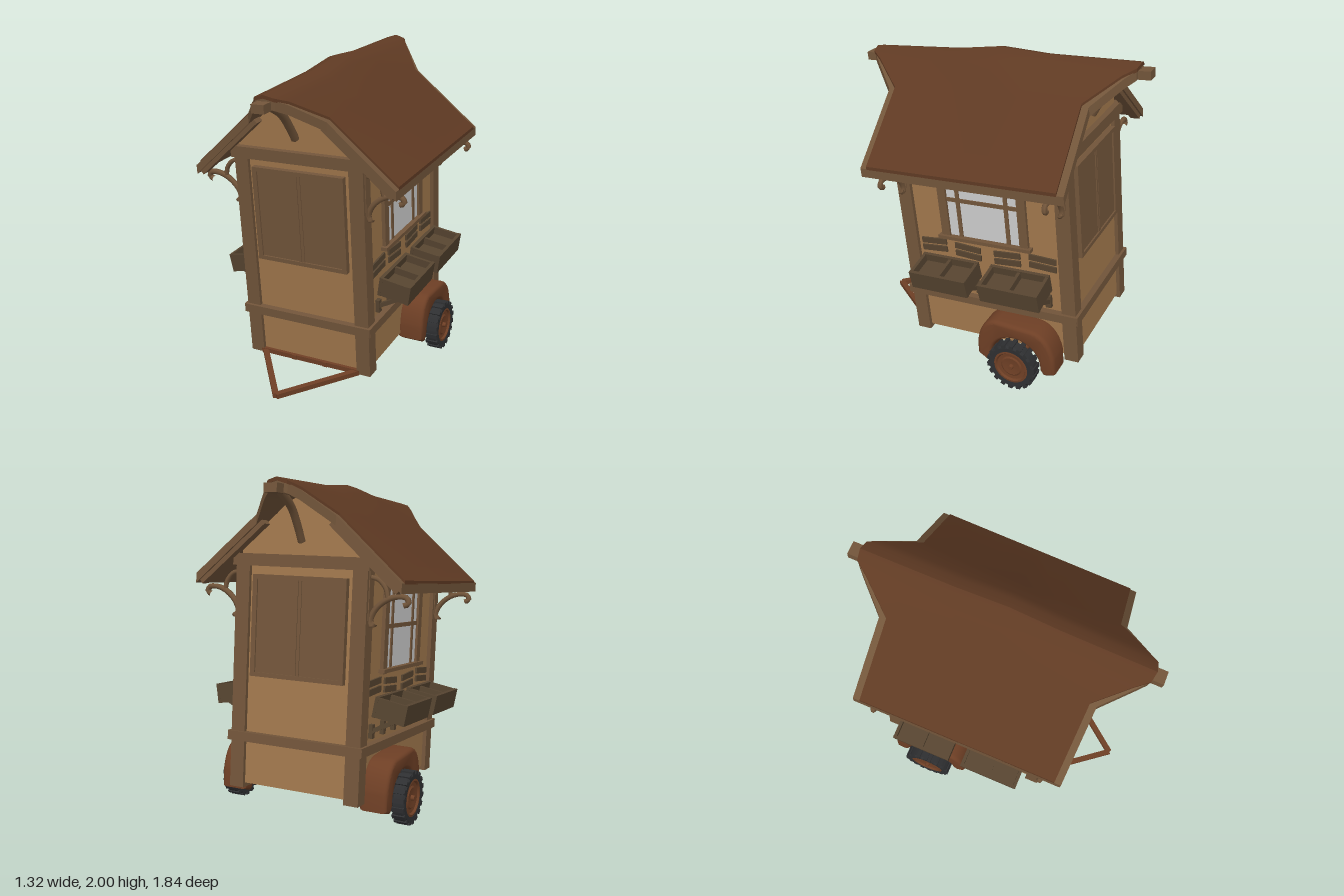
import * as THREE from 'three';
import { toCreasedNormals } from 'three/addons/utils/BufferGeometryUtils.js';

const mat = (color) => new THREE.MeshStandardMaterial({ color });
const WALL = mat(0xa0774c), TRIM = mat(0x72553a), ROOF = mat(0x5f3a23), RUST = mat(0x6e3f25);
const DARK = mat(0x564430), TYRE = mat(0x2e2f31), GLASS = mat(0xcccccc);

function add(parent, name, geo, material, x = 0, y = 0, z = 0) {
  const m = new THREE.Mesh(geo, material);
  m.name = name;
  m.position.set(x, y, z);
  parent.add(m);
  return m;
}

const box = (parent, name, material, w, h, d, x, y, z) =>
  add(parent, name, new THREE.BoxGeometry(w, h, d), material, x, y, z);

// Square bar running between two points
function bar(parent, name, material, a, b, w, h) {
  const p = new THREE.Vector3(...a), q = new THREE.Vector3(...b);
  const m = new THREE.Mesh(new THREE.BoxGeometry(w, h, p.distanceTo(q)), material);
  m.name = name;
  m.position.copy(p).lerp(q, 0.5);
  m.lookAt(q);
  parent.add(m);
}

function curved(parent, name, material, pts, r) {
  const curve = new THREE.CatmullRomCurve3(pts.map((p) => new THREE.Vector3(...p)));
  return add(parent, name, new THREE.TubeGeometry(curve, 24, r, 6, false), material);
}

// Roof cross-section from ridge to eave: x, y, half length in z, share of ridge bump
const SECTION = [[0, 1.907, 0.86, 1], [0.06, 1.89, 0.85, 1], [0.11, 1.86, 0.78, 1],
  [0.25, 1.738, 0.6, 0], [0.65, 1.39, 0.6, 0]];
const STATIONS = [[0, 0.04], [0.35, 0.012], [1, 0]];
function roofSlab(top, bottom, overhang) {
  const geo = new THREE.BoxGeometry(8, 1, 4, 8, 1, 4);
  const p = geo.attributes.position;
  for (let i = 0; i < p.count; i++) {
    const ix = Math.round(p.getX(i)), iz = Math.round(p.getZ(i));
    const [x, y, len, k] = SECTION[Math.abs(ix)];
    const [u, bump] = STATIONS[Math.abs(iz)];
    const out = len + overhang[Math.abs(ix)];
    p.setXYZ(i, Math.sign(ix) * x, y + bump * k - (p.getY(i) > 0 ? top : bottom), Math.sign(iz) * u * out);
  }
  return toCreasedNormals(geo, 0.5);
}

function buildBody(g) {
  // Solid cabin with gabled ends
  const s = new THREE.Shape([[-0.395, 0.15], [0.395, 0.15], [0.395, 1.55], [0.25, 1.68], [0.11, 1.8], [0, 1.845],
    [-0.11, 1.8], [-0.25, 1.68], [-0.395, 1.55]].map((p) => new THREE.Vector2(...p)));
  add(g, 'cabin', new THREE.ExtrudeGeometry(s, { depth: 1.09, bevelEnabled: false }), WALL, 0, 0, -0.545);

  add(g, 'roofCover', roofSlab(0, 0.02, [0, 0, 0, 0, 0]), ROOF);
  add(g, 'roofBoards', roofSlab(0.015, 0.07, [-0.005, -0.005, 0.015, 0.042, 0.042]), TRIM);
  box(g, 'ridgeBeam', TRIM, 0.08, 0.05, 1.84, 0, 1.845, 0);

  for (const e of [-1, 1]) {
    box(g, 'gableBeam', TRIM, 0.87, 0.07, 0.05, 0, 1.468, e * 0.558);
    box(g, 'endBelt', TRIM, 0.87, 0.055, 0.05, 0, 0.432, e * 0.56);
    curved(g, 'ridgeBrace', TRIM, [[0, 1.58, e * 0.56], [0, 1.66, e * 0.61], [0, 1.76, e * 0.69],
      [0, 1.84, e * 0.82]], 0.025);
    // Double shutter: back panel, frame and centre line
    const z = e * 0.555;
    box(g, 'shutterPanel', TRIM, 0.58, 0.56, 0.03, 0, 1.09, z);
    for (const k of [-1, 1]) {
      box(g, 'shutterStile', TRIM, 0.03, 0.59, 0.05, k * 0.285, 1.09, z);
      box(g, 'shutterRail', TRIM, 0.6, 0.025, 0.05, 0, 1.09 + k * 0.283, z);
      box(g, 'shutterInnerStile', TRIM, 0.016, 0.55, 0.042, k * 0.011, 1.09, z);
    }
  }
}

// Tilted tray with two compartments and three struts
function buildTray(g, s, zc) {
  const t = new THREE.Group();
  t.name = 'displayTray';
  t.position.set(s * 0.525, 0.655, zc);
  t.rotation.z = -s * 0.17;
  g.add(t);
  box(t, 'trayFloor', DARK, 0.19, 0.07, 0.37, 0, -0.025, 0);
  for (const k of [-1, 1]) {
    box(t, 'traySide', DARK, 0.02, 0.12, 0.385, k * 0.09, 0, 0);
    box(t, 'trayEnd', DARK, 0.19, 0.115, 0.02, 0, 0, k * 0.182);
  }
  box(t, 'trayDivider', DARK, 0.18, 0.105, 0.02, 0, 0, 0);
  for (const dz of [-0.16, 0, 0.16]) {
    bar(g, 'trayStrut', DARK, [s * 0.4, 0.52, zc + dz], [s * 0.56, 0.605, zc + dz], 0.025, 0.025);
    box(g, 'strutFoot', DARK, 0.03, 0.08, 0.035, s * 0.405, 0.525, zc + dz);
  }
}

function buildSide(g, s) {
  box(g, 'sideBelt', TRIM, 0.05, 0.055, 1.16, s * 0.412, 0.432, 0);
  box(g, 'wallPlate', TRIM, 0.04, 0.06, 1.05, s * 0.4, 1.47, 0);

  // Window with bars and sill
  box(g, 'windowGlass', GLASS, 0.02, 0.56, 0.5, s * 0.392, 1.13, 0);
  for (const k of [-1, 1]) {
    box(g, 'windowJamb', TRIM, 0.035, 0.6, 0.055, s * 0.4, 1.14, k * 0.262);
    box(g, 'windowBar', TRIM, 0.025, 0.56, 0.025, s * 0.397, 1.13, k * 0.16);
  }
  box(g, 'windowCrossbar', TRIM, 0.025, 0.025, 0.5, s * 0.397, 1.115, 0);
  box(g, 'windowHead', TRIM, 0.035, 0.05, 0.58, s * 0.4, 1.42, 0);
  box(g, 'windowSill', TRIM, 0.06, 0.022, 0.62, s * 0.405, 0.86, 0);

  // Wall slats above the trays
  [0.365, 0.13, -0.137, -0.37].forEach((z, i) => {
    for (const y of [0.803, 0.752]) {
      const m = box(g, 'wallSlat', DARK, 0.02, 0.037, 0.175, s * 0.397, y - (i % 3 ? 0.012 : 0), z);
      m.rotation.x = [0.07, -0.08, 0.06, -0.06][i];
    }
  });
  for (const z of [0.235, -0.235]) buildTray(g, s, z);

  for (const e of [-1, 1]) {
    box(g, 'cornerPost', TRIM, 0.09, 1.35, 0.09, s * 0.375, 0.8, e * 0.523);
    bar(g, 'gableRafter', TRIM, [s * 0.63, 1.335, e * 0.6], [s * 0.22, 1.69, e * 0.6], 0.06, 0.05);
    // Scrolled eave bracket
    const z = e * 0.523;
    const at = (pts) => pts.map(([x, y]) => [s * x, y, z]);
    curved(g, 'eaveBracket', TRIM, at([[0.455, 1.15], [0.435, 1.13], [0.425, 1.16], [0.45, 1.22], [0.51, 1.275],
      [0.58, 1.3], [0.635, 1.295], [0.645, 1.265], [0.62, 1.255]]), 0.017);
    curved(g, 'eaveBracketBranch', TRIM, at([[0.42, 1.4], [0.47, 1.385], [0.51, 1.34], [0.525, 1.28]]), 0.014);
    bar(g, 'eaveBracketArm', TRIM, [s * 0.4, 1.16, z], [s * 0.4, 1.45, z], 0.05, 0.05);
  }
}

function buildDrawbar(g) {
  for (const s of [-1, 1]) {
    bar(g, 'drawbarArm', RUST, [s * 0.33, 0.13, 0.55], [0, 0.13, 0.97], 0.035, 0.03);
    for (const x of [0.11, 0.33]) box(g, 'undersideRail', RUST, 0.03, 0.03, 0.42, s * x, 0.135, 0.36);
  }
  for (const z of [0.17, 0.55]) box(g, 'undersideCrossbar', RUST, 0.69, 0.03, 0.03, 0, 0.135, z);
}

function buildWheel(g, s) {
  const w = new THREE.Group();
  w.name = 'wheel';
  w.position.set(s * 0.568, 0.16, -0.355);
  w.rotation.z = -s * Math.PI / 2;
  g.add(w);
  // Local y points outwards
  const ring = (pts) => new THREE.LatheGeometry(pts.map((p) => new THREE.Vector2(...p)), 32);
  add(w, 'tyre', toCreasedNormals(ring([[0.11, -0.038], [0.14, -0.04], [0.152, -0.028], [0.152, 0.028],
    [0.14, 0.04], [0.112, 0.038], [0.11, -0.038]]), 0.6), TYRE);
  for (let i = 0; i < 18; i++) {
    const a = (i / 18) * Math.PI * 2;
    const lug = box(w, 'tyreLug', TYRE, 0.025, 0.08, 0.027, Math.cos(a) * 0.147, 0, Math.sin(a) * 0.147);
    lug.rotation.y = -a;
  }
  add(w, 'wheelDisc', toCreasedNormals(ring([[0, -0.03], [0.112, -0.03], [0.115, 0.036], [0.1, 0.038], [0.092, 0.026],
    [0.07, 0.024], [0.06, 0.03], [0.03, 0.026], [0, 0.026]]), 0.6), RUST);
  add(w, 'hubBolt', new THREE.CylinderGeometry(0.014, 0.018, 0.03, 12), RUST, 0, 0.032, 0);
  add(w, 'axleStub', new THREE.CylinderGeometry(0.025, 0.025, 0.2, 12), RUST, 0, -0.11, 0);

  // Fender: rounded arch extruded sideways, wheel opening cut from below
  const f = new THREE.Shape();
  f.moveTo(0.235, 0.15);
  f.lineTo(0.24, 0.22);
  f.quadraticCurveTo(0.225, 0.385, 0.13, 0.395);
  f.lineTo(-0.1, 0.395);
  f.quadraticCurveTo(-0.2, 0.385, -0.235, 0.24);
  f.lineTo(-0.24, 0.155);
  f.lineTo(-0.2, 0.14);
  f.absarc(0, 0.16, 0.185, Math.PI, 0, true);
  f.lineTo(0.2, 0.13);
  const geo = new THREE.ExtrudeGeometry(f, { depth: 0.11, bevelSize: 0.022, bevelThickness: 0.03, bevelSegments: 4, curveSegments: 16 });
  geo.translate(0, 0, -0.055);
  geo.rotateY(-Math.PI / 2);
  add(g, 'fender', toCreasedNormals(geo, 0.7), RUST, s * 0.462, 0, -0.355);
}

export function createModel() {
  const model = new THREE.Group();
  model.name = 'marketWagon';

  // The whole cabin leans forward on its wheels
  const cabin = new THREE.Group();
  cabin.name = 'leaningCabin';
  cabin.position.set(0, 0.0165, -0.169);
  cabin.rotation.x = 0.097;
  model.add(cabin);
  buildBody(cabin);
  buildDrawbar(cabin);
  for (const s of [-1, 1]) {
    buildSide(cabin, s);
    buildWheel(model, s);
  }
  return model;
}
